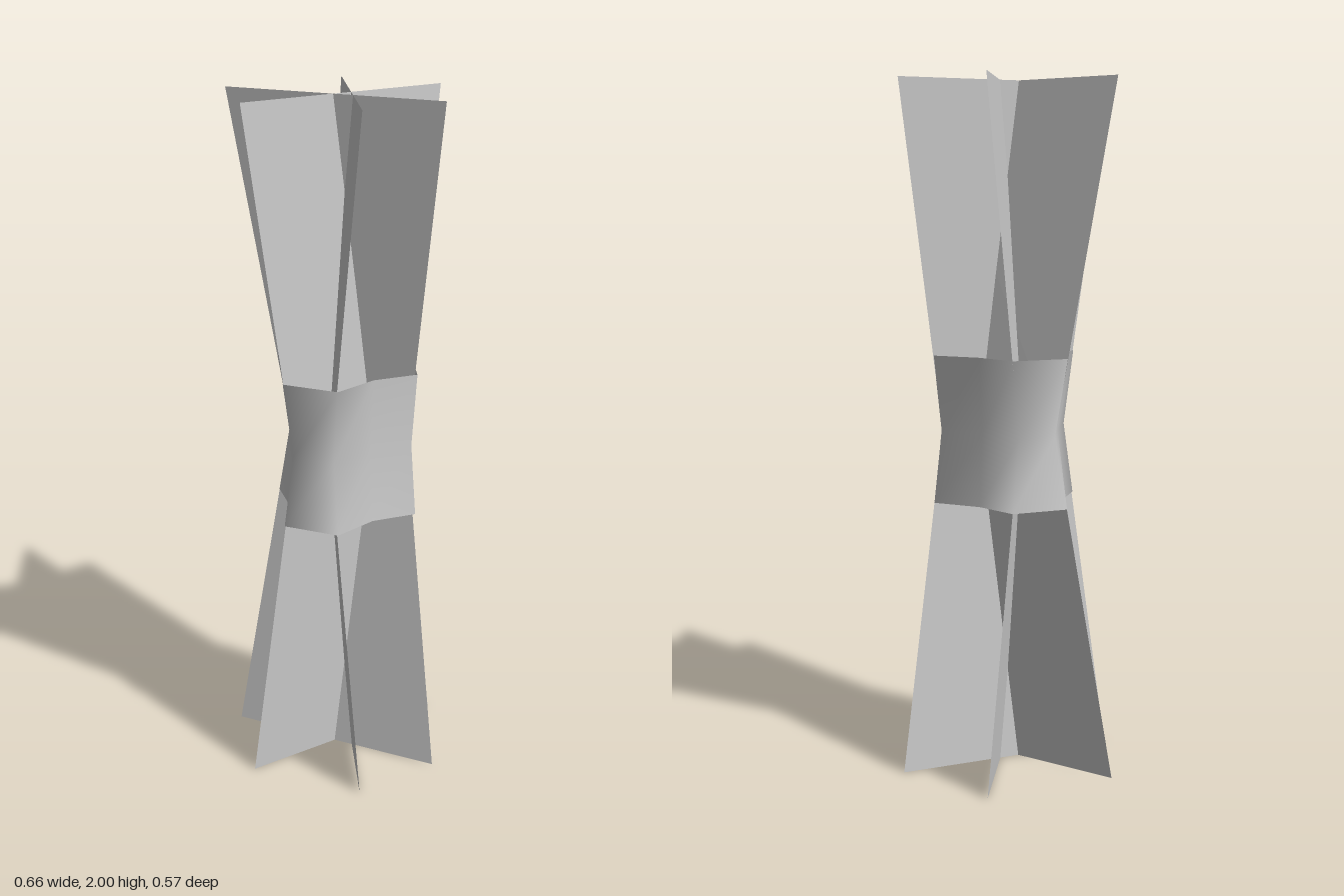
import * as THREE from 'three';

// Surface through stacked rows of [x, y, z] points, all rows of equal length.
function loft(rows, closed, flatShading) {
  const n = rows[0].length;
  const index = [];
  for (let r = 0; r < rows.length - 1; r++) {
    for (let i = 0; i < (closed ? n : n - 1); i++) {
      const j = (i + 1) % n;
      const a = r * n + i, b = r * n + j, c = a + n, d = b + n;
      index.push(a, b, d, a, d, c);
    }
  }
  const geometry = new THREE.BufferGeometry();
  geometry.setAttribute('position', new THREE.Float32BufferAttribute(rows.flat(2), 3));
  geometry.setIndex(index);
  geometry.computeVertexNormals();
  const material = new THREE.MeshStandardMaterial({
    color: 0xcccccc, side: THREE.DoubleSide, flatShading,
  });
  return new THREE.Mesh(geometry, material);
}

// Places a list of [x, z] points at height y.
const atHeight = (points, y) => points.map(([x, z]) => [x, y, z]);

export function createModel() {
  const group = new THREE.Group();

  // Three crossing stalk sheets, each pinched and folded at mid height.
  const sheets = [
    { name: 'crossStalkSheet', end: [[-0.33, 0], [0.33, 0]], waist: [[-0.2, 0.04], [0.187, 0.04]] },
    { name: 'leftStalkSheet', end: [[-0.204, -0.288], [0.128, 0.285]], waist: [[-0.06, -0.197], [0.128, 0.135]] },
    { name: 'rightStalkSheet', end: [[-0.142, 0.285], [0.188, -0.288]], waist: [[-0.14, 0.135], [0.05, -0.197]] },
  ];
  for (const { name, end, waist } of sheets) {
    const mesh = loft([atHeight(end, 0), atHeight(waist, 1), atHeight(end, 2)], false, true);
    mesh.name = name;
    group.add(mesh);
  }

  // Tie band: wraps the six sheet edges, dented on three sides, narrow in the middle.
  const rim = [
    [-0.142, 0.174], [0, 0.145], [0.132, 0.174], [0.217, 0.032], [0.123, -0.083],
    [0.079, -0.218], [-0.09, -0.218], [-0.138, -0.083], [-0.231, 0.032],
  ];
  const middle = [
    [-0.141, 0.153], [0, 0.13], [0.13, 0.153], [0.19, 0.04], [0.112, -0.077],
    [0.051, -0.198], [-0.061, -0.198], [-0.127, -0.077], [-0.204, 0.04],
  ];
  const band = loft([atHeight(rim, 0.79), atHeight(middle, 1), atHeight(rim, 1.22)], true, false);
  band.name = 'tieBand';
  group.add(band);

  return group;
}
